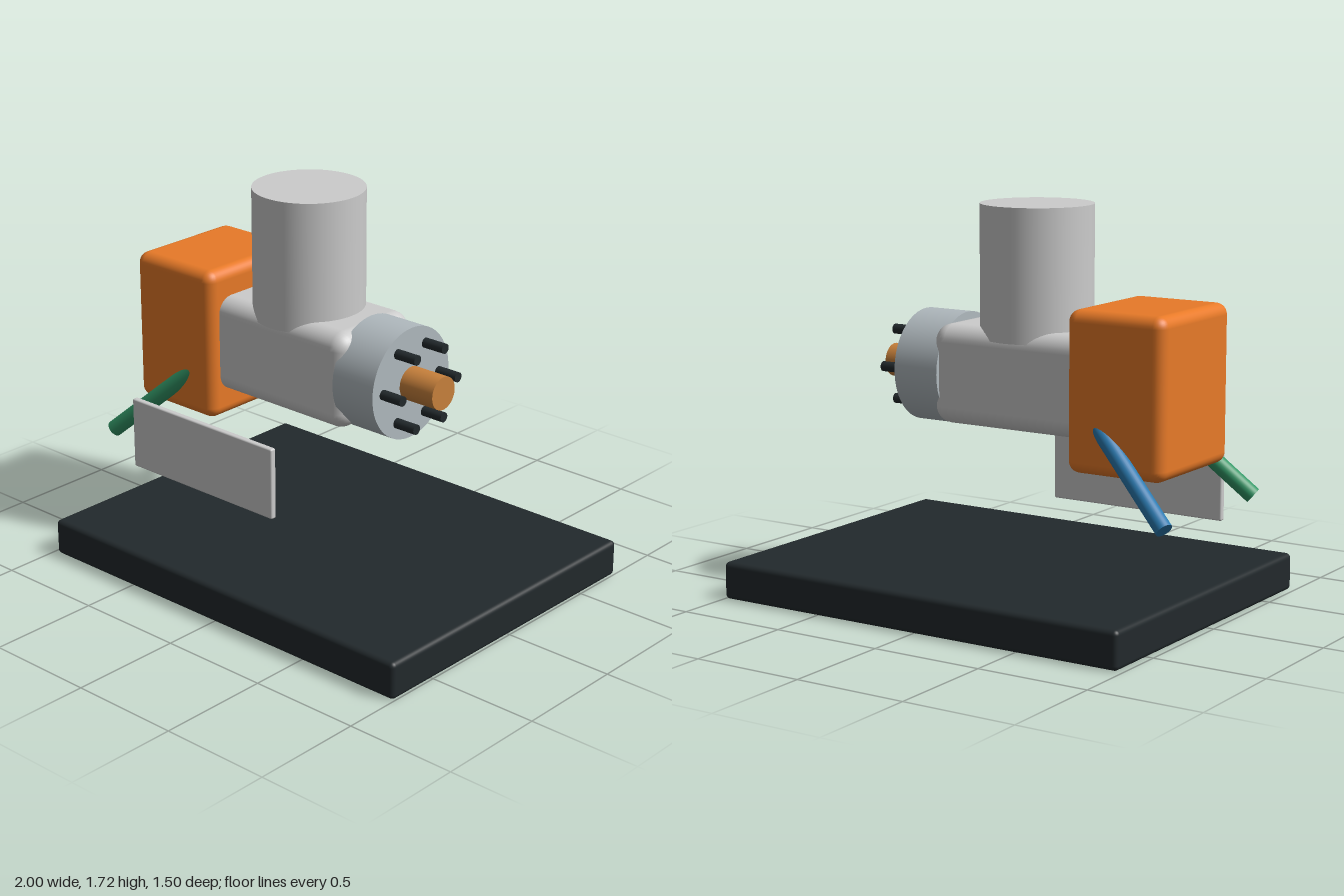
import * as THREE from 'three';
import { RoundedBoxGeometry } from 'three/addons/geometries/RoundedBoxGeometry.js';

const AXIS_Y = 0.985; // height of the nozzle axis
const mat = (color) => new THREE.MeshStandardMaterial({ color });

export function createModel() {
  const model = new THREE.Group();
  const grey = mat(0xcccccc);
  const orange = mat(0xe87a28);
  const dark = mat(0x22292c);
  const steel = mat(0xb0b9be);
  const copper = mat(0xc8813c);

  const add = (name, geometry, material) => {
    const mesh = new THREE.Mesh(geometry, material);
    mesh.name = name;
    model.add(mesh);
    return mesh;
  };

  // Rounded box given by its minimum and maximum corners
  const box = (name, min, max, radius, material) => {
    const size = max.map((v, i) => v - min[i]);
    const mesh = add(name, new RoundedBoxGeometry(...size, 4, radius), material);
    mesh.position.set(...max.map((v, i) => (v + min[i]) / 2));
    return mesh;
  };

  // Cylinder between two points
  const rod = (name, from, to, radius, material, sides = 48) => {
    const a = new THREE.Vector3(...from);
    const b = new THREE.Vector3(...to);
    const mesh = add(name, new THREE.CylinderGeometry(radius, radius, a.distanceTo(b), sides), material);
    mesh.position.copy(a).lerp(b, 0.5);
    mesh.quaternion.setFromUnitVectors(new THREE.Vector3(0, 1, 0), b.sub(a).normalize());
    return mesh;
  };

  // Base slab
  box('base', [-0.98, 0, -0.75], [1, 0.165, 0.75], 0.022, dark);

  // Gun body and rear block
  box('body', [-0.52, 0.77, -0.23], [0.27, 1.2, 0.23], 0.075, grey);
  box('rearBlock', [-0.905, 0.645, -0.285], [-0.445, 1.325, 0.285], 0.05, orange);

  // Upright cylinder on top of the body
  rod('topCylinder', [-0.128, 1.15, 0], [-0.128, 1.72, 0], 0.243, grey, 64);

  // Front collar, nozzle and ring of pins
  rod('collar', [0.225, AXIS_Y, 0], [0.445, AXIS_Y, 0], 0.245, steel, 64);
  rod('nozzle', [0.4, AXIS_Y, 0], [0.62, AXIS_Y, 0], 0.073, copper);
  for (let i = 0; i < 6; i++) {
    const angle = (i * Math.PI) / 3;
    const y = AXIS_Y + 0.178 * Math.sin(angle);
    const z = 0.178 * Math.cos(angle);
    rod('pin', [0.42, y, z], [0.553, y, z], 0.022, dark, 20);
  }

  // Hoses leaving both sides of the rear block
  for (const [name, side, color] of [['frontHose', 1, 0x329666], ['backHose', -1, 0x2a7ab0]]) {
    rod(name, [-0.52, 0.905, 0.225 * side], [-0.974, 0.491, 0.38 * side], 0.037, mat(color), 32);
  }

  // Blank side plate
  box('sidePlate', [-0.825, 0.36, 0.374], [0.02, 0.685, 0.404], 0.008, grey);

  return model;
}
